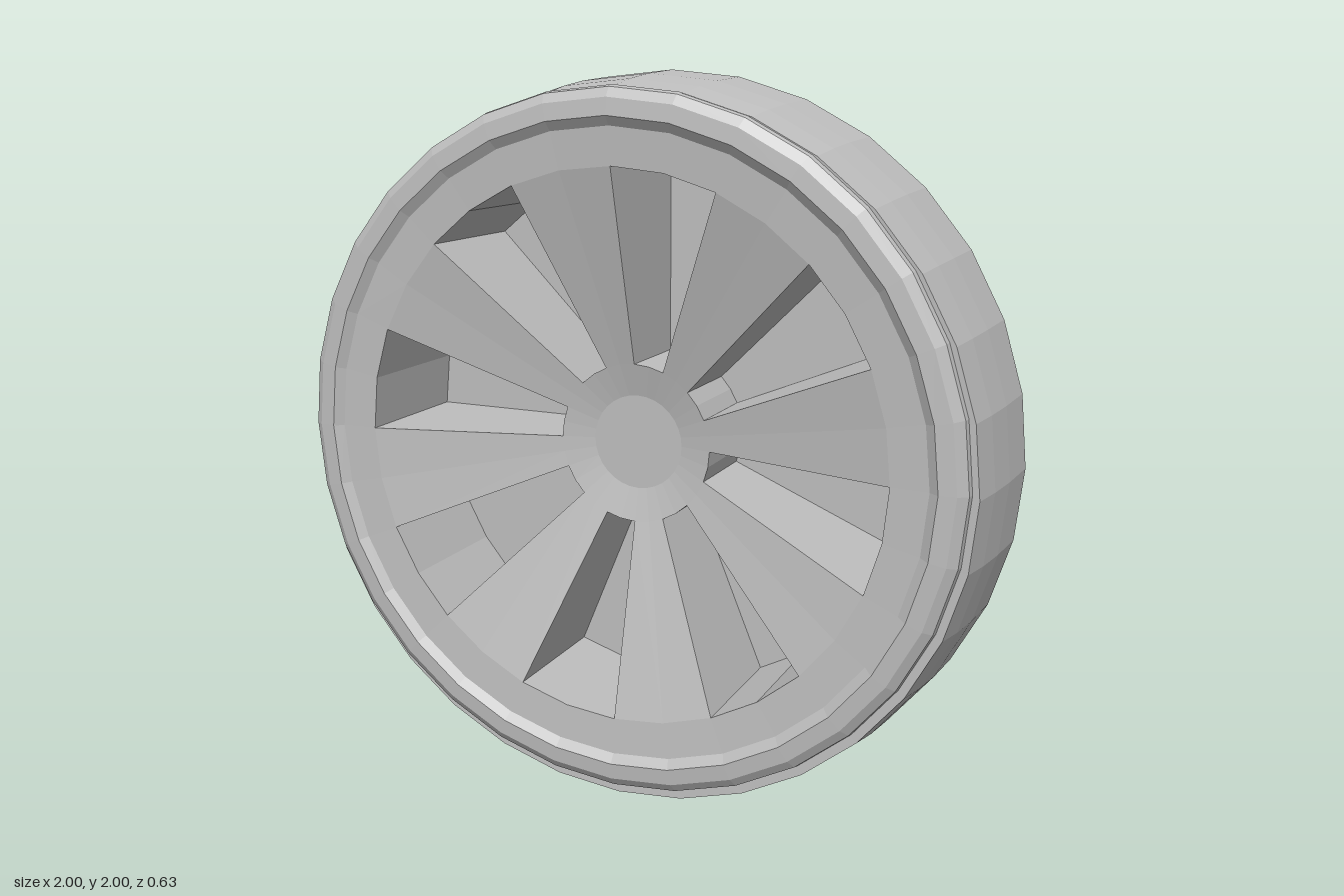
import * as THREE from 'three';
import { mergeGeometries } from 'three/addons/utils/BufferGeometryUtils.js';

const SIDES = 32;
const STEP = (Math.PI * 2) / SIDES;

// Faceted normals
function facet(geometry) {
  const g = geometry.toNonIndexed();
  g.computeVertexNormals();
  return g;
}

// Revolve [radius, z] points around the wheel axis (z)
function revolve(points, segments = SIDES, start = 0) {
  const profile = points.map(([r, z]) => new THREE.Vector2(r, z));
  const g = new THREE.LatheGeometry(profile, segments, start, segments * STEP);
  return facet(g.rotateX(Math.PI / 2));
}

export function createModel() {
  const grey = new THREE.MeshStandardMaterial({ color: 0xbdbdbd, side: THREE.DoubleSide });
  grey.name = 'grey';

  const model = new THREE.Group();
  model.name = 'wheel';
  const body = new THREE.Group();
  body.name = 'wheelBody';
  const rim = new THREE.Group();
  rim.name = 'rim';

  function add(parent, name, geometry) {
    const mesh = new THREE.Mesh(geometry, grey);
    mesh.name = name;
    parent.add(mesh);
  }

  // Tyre with closed flat back
  add(body, 'tyre', revolve([
    [0, -0.305], [0.8, -0.305], [0.905, -0.255], [0.95, -0.21], [1, -0.09],
    [0.99, 0.06], [0.977, 0.17], [0.96, 0.265], [0.9, 0.262],
  ]));

  // Outer lip of the rim with a shallow step
  add(rim, 'rimLip', revolve([
    [0.95, 0.26], [0.945, 0.28], [0.92, 0.298], [0.875, 0.302], [0.85, 0.284], [0.75, 0.277],
  ]));

  // Eight dished spokes alternating with eight deep openings
  const outer = [0.75, 0.277], inner = [0.22, 0.14], floor = -0.1;
  const pocket = [outer, [outer[0], floor], [inner[0], floor], inner];
  const wallShape = new THREE.Shape(pocket.map(([r, z]) => new THREE.Vector2(r, z)));
  const spokes = [], openings = [], walls = [];
  for (let i = 0; i < SIDES; i += 4) {
    spokes.push(revolve([outer, inner], 2, i * STEP));
    openings.push(revolve(pocket, 2, (i + 2) * STEP));
    for (const edge of [i, i + 2]) {
      const wall = new THREE.ShapeGeometry(wallShape);
      wall.rotateY(edge * STEP - Math.PI / 2).rotateX(Math.PI / 2);
      walls.push(facet(wall));
    }
  }
  add(rim, 'spokeFaces', mergeGeometries(spokes));
  add(rim, 'openings', mergeGeometries(openings));
  add(rim, 'spokeSides', mergeGeometries(walls));

  // Recessed hub with a flat centre
  add(rim, 'hub', revolve([inner, [0.13, 0.118], [0, 0.118]]));

  rim.position.set(-0.007, 0.013, 0);
  body.add(rim);

  // Wheel sits slightly turned about the vertical axis
  body.position.y = 1;
  body.rotation.y = 0.0145;
  model.add(body);
  return model;
}
